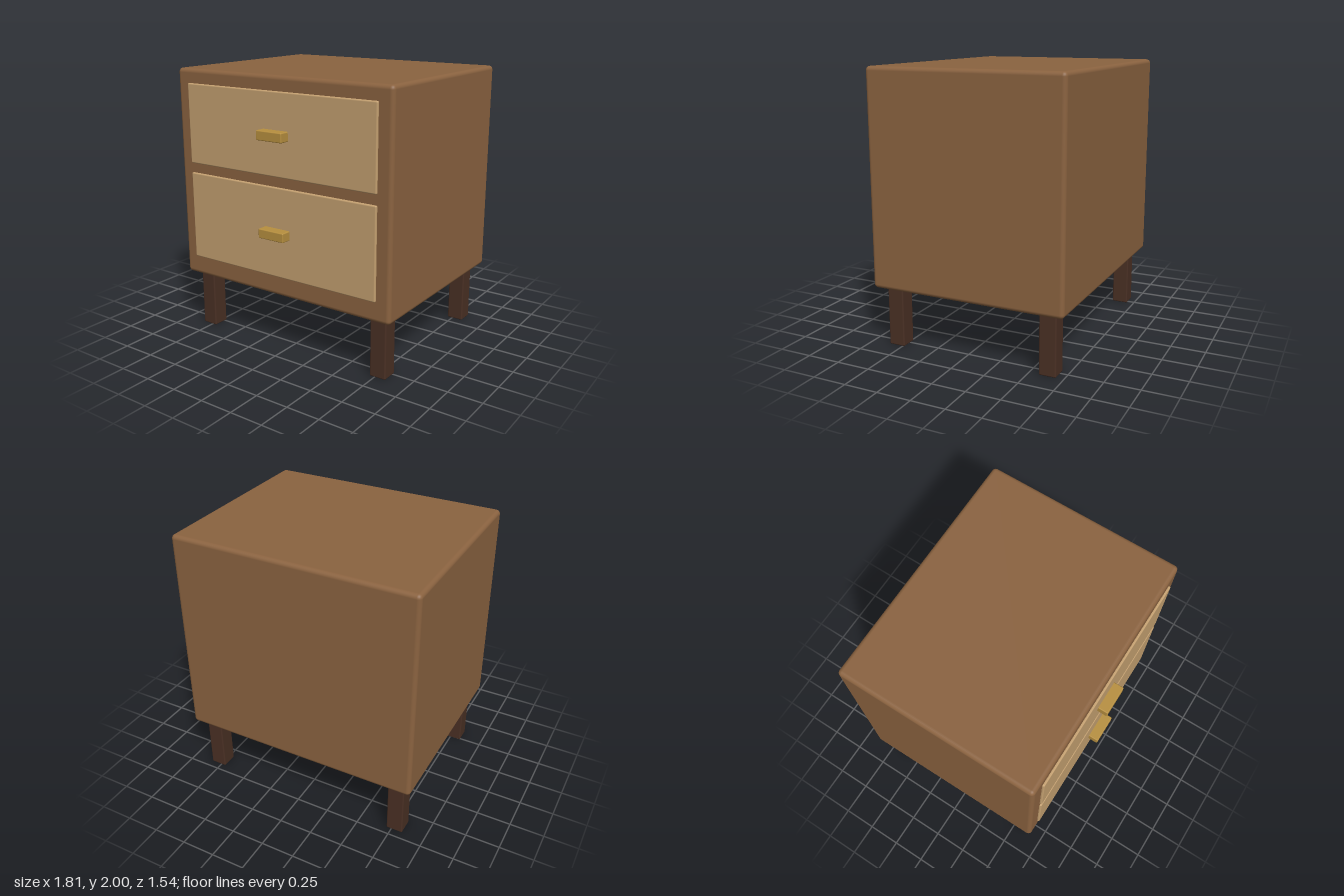
import * as THREE from 'three';
import { RoundedBoxGeometry } from 'three/addons/geometries/RoundedBoxGeometry.js';

const material = (color) => new THREE.MeshStandardMaterial({ color });

// Rounded box given by its centre in x and its ranges in y and z
function block(name, mat, x, width, [y0, y1], [z0, z1], radius) {
  const geometry = new RoundedBoxGeometry(width, y1 - y0, z1 - z0, 3, radius);
  const mesh = new THREE.Mesh(geometry, mat);
  mesh.name = name;
  mesh.position.set(x, (y0 + y1) / 2, (z0 + z1) / 2);
  return mesh;
}

export function createModel() {
  const model = new THREE.Group();
  model.name = 'nightstand';

  const wood = material(0x8b6340);
  const paleWood = material(0xc4a070);
  const darkWood = material(0x4a3024);
  const brass = material(0xb8903f);

  // Cabinet
  model.add(block('cabinet', wood, 0, 1.81, [0.44, 2], [-0.772, 0.683], 0.03));

  // Drawers, each with a front panel and a bar handle
  const drawers = [
    { name: 'upperDrawer', front: [1.312, 1.897], handle: [1.57, 1.638] },
    { name: 'lowerDrawer', front: [0.587, 1.24], handle: [0.88, 0.948] },
  ];
  for (const { name, front, handle } of drawers) {
    const drawer = new THREE.Group();
    drawer.name = name;
    drawer.add(block('drawerFront', paleWood, 0, 1.6, front, [0.64, 0.698], 0.01));
    drawer.add(block('handle', brass, 0, 0.216, handle, [0.685, 0.772], 0.007));
    model.add(drawer);
  }

  // Four square legs under the corners
  for (const x of [-0.773, 0.773]) {
    for (const z of [-0.635, 0.545]) {
      const name = (z > 0 ? 'front' : 'back') + (x > 0 ? 'Left' : 'Right') + 'Leg';
      model.add(block(name, darkWood, x, 0.124, [0, 0.445], [z - 0.062, z + 0.062], 0.01));
    }
  }

  return model;
}
